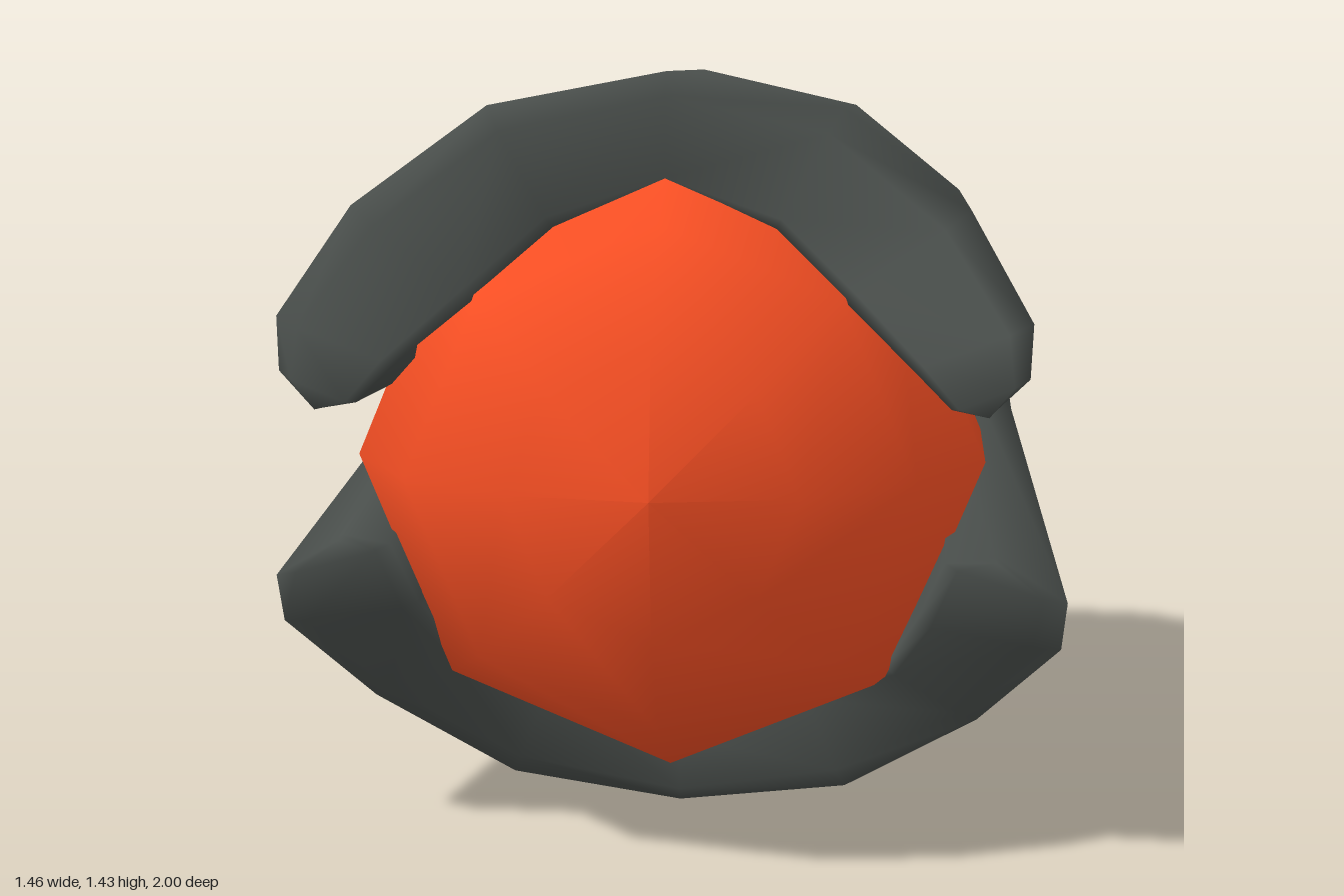
import * as THREE from 'three';
import { mergeVertices } from 'three/addons/utils/BufferGeometryUtils.js';

const MID = 0.73; // height of the seam between the two jaws

// Half cross-section where the slit begins: heights are relative to MID
const ROOT = [[0.62, 0], [0.61, 0.19], [0.52, 0.395], [0.31, 0.57], [0, 0.64]];
const WEIGHT = [0, 0.3, 0.85, 1, 1]; // 0 = side column, 1 = centre column

// Rounded back from the pole forward, along the side: scale, z
const SIDE = [[0, -1], [0.47, -0.95], [0.81, -0.79], [0.97, -0.62], [1, -0.5]];

// Each jaw: back along the centre line, then front cross-section, side to centre
const UPPER = {
  back: [[0, -1], [0.37, -0.9], [0.7, -0.81], [0.82, -0.58], [1, -0.25]],
  outer: [[0.655, 0.925], [0.66, 1.02], [0.55, 1.2], [0.32, 1.37], [0, 1.43]],
  inner: [[0.52, 0.87], [0.45, 0.94], [0.33, 1.035], [0.2, 1.15], [0, 1.22]],
  edge: [0.585, 0.86], z: [0.97, 0.96, 0.82, 0.71, 0.67], skew: 0, flip: false,
};
const LOWER = {
  back: [[0, -1], [0.37, -0.92], [0.7, -0.84], [0.87, -0.6], [1, -0.38]],
  outer: [[0.73, 0.49], [0.72, 0.4], [0.57, 0.23], [0.32, 0.055], [0, 0.002]],
  inner: [[0.51, 0.56], [0.46, 0.45], [0.4, 0.33], [0.24, 0.25], [0, 0.15]],
  edge: [0.6, 0.575], z: [0.78, 0.76, 0.61, 0.45, 0.38], skew: 0.13, flip: true,
};

const vec = (x, y, z) => new THREE.Vector3(x, y, z);
const { lerp } = THREE.MathUtils;

// Mirror a half row of points (side to centre) into a full row
function mirrorRow(half) {
  return [...half, ...half.slice(0, -1).reverse().map(p => vec(-p.x, p.y, p.z))];
}

// Closed loop: outer row, far edge, inner row backwards, near edge
function loop(outer, inner, edge) {
  return [...mirrorRow(outer), vec(-edge.x, edge.y, edge.z),
    ...mirrorRow(inner).reverse(), edge];
}

function jawTriangles(jaw, out) {
  const sign = jaw.flip ? -1 : 1;
  const tri = (a, b, c) => {
    for (const p of jaw.flip ? [a, c, b] : [a, b, c]) out.push(p.x, p.y, p.z);
  };
  const quad = (a, b, c, d) => { tri(a, b, c); tri(a, c, d); };

  // Rings of the rounded back
  const rings = SIDE.map(([sideScale, sideZ], r) => {
    const [centreScale, centreZ] = jaw.back[r];
    const row = k => ROOT.map(([x, y], i) => {
      const s = lerp(sideScale, centreScale, WEIGHT[i]) * k;
      return vec(x * s, MID + sign * y * s, lerp(sideZ, centreZ, WEIGHT[i]));
    });
    return loop(row(1), row(0.8), vec(0.57 * sideScale, MID, sideZ));
  });
  const root = rings[rings.length - 1];

  // Ring at the front, just behind the rim
  const place = pts => pts.map(([x, y], i) => vec(x, y, jaw.z[i] - 0.04));
  const front = loop(place(jaw.outer), place(jaw.inner), vec(...jaw.edge, jaw.z[0] - 0.03));
  for (const p of front) if (p.x < 0) p.z += jaw.skew * p.x / 0.73;

  // The slit opens quickly near its tip
  const n = front.length;
  const open = root.map((p, j) => {
    const q = p.clone().lerp(front[j], 0.12);
    if ([0, 8, 9, 10, 18, 19].includes(j)) q.y += sign * 0.04;
    return q;
  });

  // Rounded rim: pull the section in and push it forward
  const rim = front.map((p, j) => {
    const opposite = j === 9 ? front[8].clone().lerp(front[10], 0.5)
      : j === 19 ? front[0].clone().lerp(front[18], 0.5) : front[18 - j];
    const q = p.clone().lerp(opposite, j < 9 ? 0.2 : 0.1);
    q.z += 0.035;
    return q;
  });
  rings.push(open, front, rim);

  for (let k = 0; k < rings.length - 1; k++) {
    const count = k < SIDE.length - 1 ? 8 : n; // outside only at the back
    for (let j = 0; j < count; j++) {
      const m = (j + 1) % n;
      quad(rings[k][j], rings[k][m], rings[k + 1][m], rings[k + 1][j]);
    }
  }
  // Front face of the jaw
  for (let j = 0; j < 8; j++) quad(rim[j], rim[j + 1], rim[17 - j], rim[18 - j]);
  tri(rim[8], rim[9], rim[10]);
  tri(rim[0], rim[18], rim[19]);
}

export function createModel() {
  const group = new THREE.Group();

  // Shell: two jaws joined in one rounded back
  const positions = [];
  jawTriangles(UPPER, positions);
  jawTriangles(LOWER, positions);
  let shellGeo = new THREE.BufferGeometry();
  shellGeo.setAttribute('position', new THREE.Float32BufferAttribute(positions, 3));
  shellGeo = mergeVertices(shellGeo, 1e-4);
  shellGeo.computeVertexNormals();
  const shell = new THREE.Mesh(shellGeo,
    new THREE.MeshStandardMaterial({ color: 0x4a4f4c, side: THREE.DoubleSide }));
  shell.name = 'shell';
  group.add(shell);

  // Core: eight-sided rounded plug held between the jaws
  const profile = [[0, -0.75], [0.3, -0.7], [0.51, -0.5], [0.57, 0.2], [0.58, 0.56],
    [0.46, 0.8], [0.26, 0.95], [0, 1]].map(p => new THREE.Vector2(...p));
  const core = new THREE.Mesh(new THREE.LatheGeometry(profile, 8).rotateX(Math.PI / 2),
    new THREE.MeshStandardMaterial({ color: 0xfa5024 }));
  core.name = 'core';
  core.position.y = 0.712;
  group.add(core);

  return group;
}
